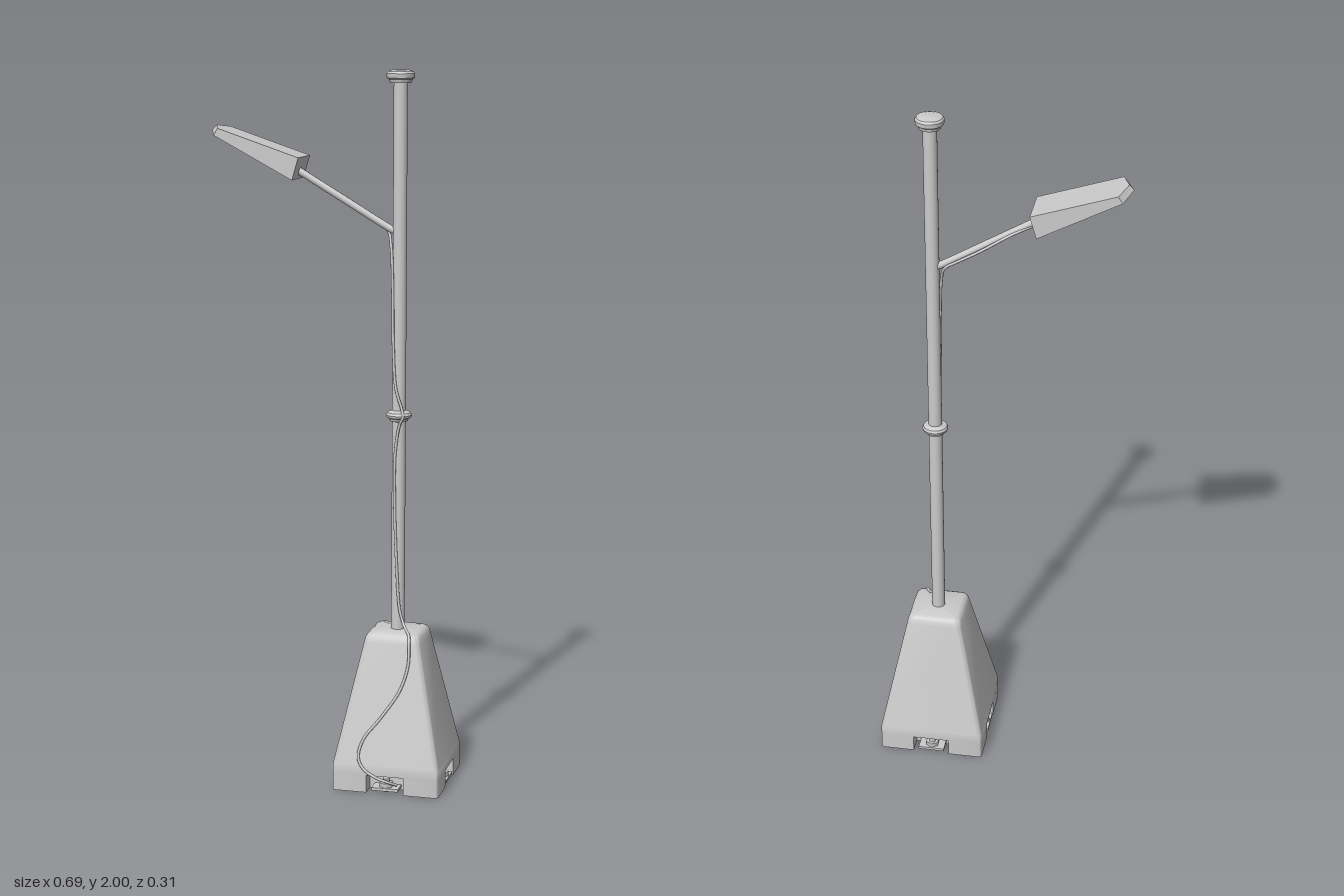
import * as THREE from 'three';
import { toCreasedNormals } from 'three/addons/utils/BufferGeometryUtils.js';

const V = (x, y, z) => new THREE.Vector3(x, y, z);
const PX = 0.19, PZ = -0.003; // pole axis
const grey = new THREE.MeshStandardMaterial({ color: 0xcccccc, side: THREE.DoubleSide });

function add(parent, name, geometry, x = 0, y = 0, z = 0) {
  const mesh = new THREE.Mesh(geometry, grey);
  mesh.name = name;
  mesh.position.set(x, y, z);
  parent.add(mesh);
  return mesh;
}

// Skin between equal-length loops (anticlockwise from above, bottom to top), both ends closed
function loft(loops, crease) {
  const pts = [];
  const n = loops[0].length;
  const centre = (loop) => loop.reduce((s, p) => s.add(p), V(0, 0, 0)).divideScalar(n);
  const first = loops[0], last = loops[loops.length - 1];
  const c0 = centre(first), c1 = centre(last);
  for (let j = 0; j < n; j++) {
    const k = (j + 1) % n;
    pts.push(c0, first[k], first[j], c1, last[j], last[k]);
    for (let i = 0; i + 1 < loops.length; i++) {
      const a = loops[i][j], b = loops[i][k], c = loops[i + 1][k], d = loops[i + 1][j];
      pts.push(a, b, c, a, c, d);
    }
  }
  return toCreasedNormals(new THREE.BufferGeometry().setFromPoints(pts), crease);
}

// Rounded square outline, optionally with a notch in the middle of each side
function squareOutline(h, r, notchHalf = 0, notchDepth = 0) {
  const out = [];
  for (let s = 0; s < 4; s++) {
    const side = [];
    if (notchHalf) {
      side.push([-notchHalf, -h], [-notchHalf, -h + notchDepth], [notchHalf, -h + notchDepth], [notchHalf, -h]);
    }
    for (let i = 0; i <= 5; i++) {
      const a = -Math.PI / 2 + (i / 5) * Math.PI / 2;
      side.push([h - r + r * Math.cos(a), -h + r + r * Math.sin(a)]);
    }
    for (const [x, y] of side) out.push(new THREE.Vector2(x, y).rotateAround(new THREE.Vector2(), s * Math.PI / 2));
  }
  return out;
}

function makeBase() {
  const base = new THREE.Group();
  base.name = 'base';
  base.position.set(PX, 0, PZ);

  // Foot with an anchor pocket in each side
  const foot = new THREE.ExtrudeGeometry(new THREE.Shape(squareOutline(0.1525, 0.012, 0.053, 0.045)), { depth: 0.05, bevelEnabled: false });
  foot.rotateX(-Math.PI / 2);
  add(base, 'foot', toCreasedNormals(foot, 0.6));

  // Tapered concrete block: height, half width, corner radius
  const levels = [
    [0.05, 0.1525, 0.012], [0.072, 0.1525, 0.012], [0.08, 0.151, 0.013], [0.415, 0.081, 0.018],
    [0.428, 0.078, 0.018], [0.436, 0.073, 0.017], [0.441, 0.064, 0.014]
  ];
  add(base, 'block', loft(levels.map(([y, h, r]) => squareOutline(h, r).map((p) => V(p.x, y, -p.y))), 0.6));

  // Anchor plates, nuts and bolts
  for (let i = 0; i < 4; i++) {
    const anchor = new THREE.Group();
    anchor.name = 'anchor';
    anchor.rotation.y = i * Math.PI / 2;
    add(anchor, 'anchorPlate', new THREE.BoxGeometry(0.076, 0.008, 0.045), 0, 0.012, 0.13);
    add(anchor, 'anchorNut', new THREE.CylinderGeometry(0.02, 0.02, 0.012, 6), 0, 0.022, 0.13);
    add(anchor, 'anchorBolt', new THREE.CylinderGeometry(0.01, 0.01, 0.038, 12), 0, 0.021, 0.13);
    base.add(anchor);
  }
  return base;
}

// Wedge-shaped lamp head with a pointed end and a recessed underside
function makeLamp() {
  const half = 0.061;
  // rear, side and tip are [x, y]; inset narrows the outline
  const outline = (rear, side, tip, w) => [
    V(...rear, PZ - 0.003 - w), V(...side, PZ - 0.003 - w), V(...tip, PZ - 0.003),
    V(...side, PZ - 0.003 + w), V(...rear, PZ - 0.003 + w)
  ];
  const loops = [
    outline([-0.113, 1.727], [-0.307, 1.825], [-0.326, 1.835], half - 0.014),
    outline([-0.119, 1.709], [-0.313, 1.813], [-0.332, 1.823], half - 0.012),
    outline([-0.101, 1.7], [-0.325, 1.82], [-0.347, 1.832], half),
    outline([-0.083, 1.762], [-0.313, 1.839], [-0.334, 1.846], half)
  ];
  const lamp = new THREE.Group();
  lamp.name = 'lampHead';
  add(lamp, 'lampHousing', loft(loops, 0.2));
  // Light panel inside the recess
  const panel = add(lamp, 'lightPanel', new THREE.BoxGeometry(0.15, 0.008, 0.07), -0.21, 1.774, PZ - 0.003);
  panel.rotation.z = -0.47;
  return lamp;
}

function lathe(profile) {
  const pts = profile.map(([r, y]) => new THREE.Vector2(r, y));
  return toCreasedNormals(new THREE.LatheGeometry(pts, 32), 0.5);
}

function tube(points, radius, segments) {
  return new THREE.TubeGeometry(new THREE.CatmullRomCurve3(points.map((p) => V(...p)), false, 'centripetal'), segments, radius, 10);
}

export function createModel() {
  const model = new THREE.Group();
  model.name = 'streetLamp';
  model.add(makeBase(), makeLamp());

  // Pole with top cap and mid collar
  add(model, 'pole', new THREE.CylinderGeometry(0.019, 0.019, 1.56, 24), PX, 1.2, PZ);
  add(model, 'poleCap', lathe([
    [0, 1.965], [0.029, 1.965], [0.032, 1.974], [0.038, 1.978], [0.039, 1.99], [0.035, 1.996], [0.022, 2], [0, 2]
  ]), PX, 0, PZ);
  add(model, 'collar', lathe([
    [0.018, 1.034], [0.025, 1.036], [0.027, 1.043], [0.034, 1.046], [0.036, 1.053], [0.033, 1.06], [0.025, 1.064], [0.018, 1.066]
  ]), PX, 0, PZ);

  // Sloping arm
  add(model, 'arm', tube([[0.185, 1.558, PZ], [0.155, 1.574, PZ], [0.04, 1.642, PZ], [-0.115, 1.734, PZ]], 0.01, 24));

  // Cable from lamp head, down the pole and over the base to an anchor pocket
  add(model, 'cable', tube([
    [-0.1, 1.715, -0.006], [-0.03, 1.68, -0.013], [0.06, 1.624, -0.021], [0.12, 1.588, -0.019], [0.155, 1.562, -0.012],
    [0.167, 1.52, 0.004], [0.174, 1.4, 0.013], [0.177, 1.25, 0.016], [0.186, 1.13, 0.02], [0.204, 1.07, 0.021],
    [0.208, 1.05, 0.026], [0.198, 1.03, 0.022], [0.185, 0.95, 0.019], [0.184, 0.8, 0.019], [0.192, 0.6, 0.019],
    [0.2, 0.5, 0.019], [0.212, 0.462, 0.024], [0.226, 0.447, 0.045], [0.238, 0.44, 0.068], [0.242, 0.415, 0.082],
    [0.242, 0.36, 0.092], [0.222, 0.29, 0.107], [0.17, 0.21, 0.124], [0.125, 0.15, 0.136], [0.113, 0.1, 0.146],
    [0.128, 0.07, 0.151], [0.165, 0.046, 0.152], [0.2, 0.034, 0.148], [0.22, 0.022, 0.13]
  ], 0.004, 220));
  return model;
}
